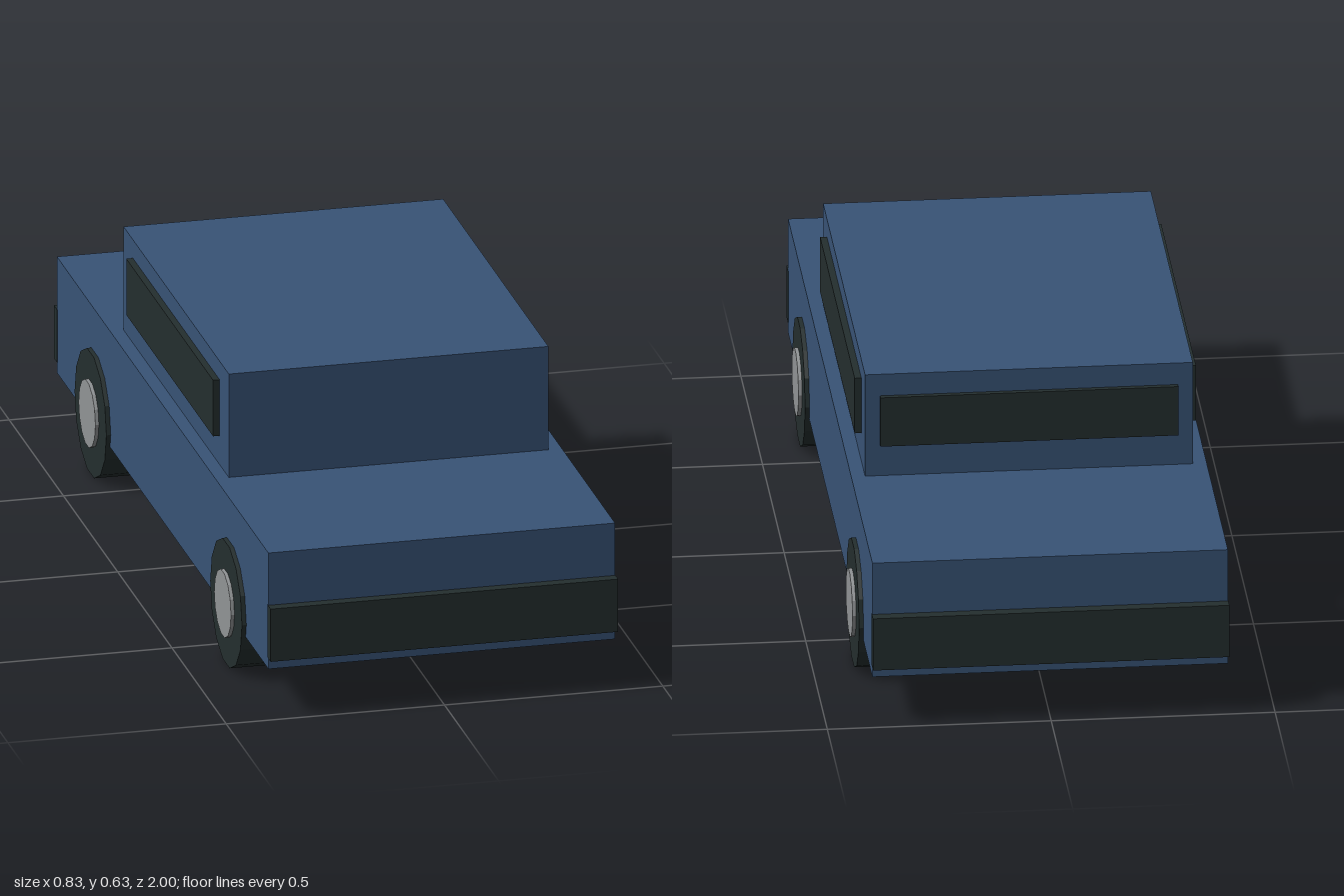
import * as THREE from 'three';

const material = (name, color) => {
  const m = new THREE.MeshStandardMaterial({ color });
  m.name = name;
  return m;
};

export function createModel() {
  const car = new THREE.Group();
  car.name = 'car';
  const paint = material('bluePaint', 0x385376);
  const dark = material('darkRubber', 0x242e2e);
  const metal = material('greyMetal', 0x919496);
  paint.flatShading = dark.flatShading = metal.flatShading = true;

  const add = (name, geometry, mat, x, y, z) => {
    const mesh = new THREE.Mesh(geometry, mat);
    mesh.name = name;
    mesh.position.set(x, y, z);
    car.add(mesh);
    return mesh;
  };
  const box = (name, mat, w, h, d, x, y, z) =>
    add(name, new THREE.BoxGeometry(w, h, d), mat, x, y, z);

  // Body and cabin
  box('body', paint, 0.794, 0.275, 1.95, 0, 0.2495, 0);
  box('cabin', paint, 0.732, 0.245, 0.97, 0, 0.5095, 0);

  // Windows on both sides and the back
  for (const s of [1, -1]) {
    box(s > 0 ? 'leftWindow' : 'rightWindow', dark, 0.016, 0.133, 0.8, s * 0.373, 0.5215, 0);
  }
  box('rearWindow', dark, 0.665, 0.118, 0.014, 0, 0.521, -0.49);

  // Bumpers
  for (const s of [1, -1]) {
    box(s > 0 ? 'frontBumper' : 'rearBumper', dark, 0.796, 0.125, 0.03, 0, 0.2005, s * 0.985);
  }

  // Wheels: 14-sided tyres with slightly raised hubs
  const tyre = new THREE.CylinderGeometry(0.1465, 0.1465, 0.105, 14).rotateZ(Math.PI / 2);
  const hub = new THREE.CylinderGeometry(0.0775, 0.0775, 0.02, 14).rotateZ(Math.PI / 2);
  for (const sx of [1, -1]) {
    for (const sz of [1, -1]) {
      const label = (sz > 0 ? 'front' : 'rear') + (sx > 0 ? 'Left' : 'Right');
      add(label + 'Tyre', tyre, dark, sx * 0.3545, 0.143, sz * 0.625);
      add(label + 'Hub', hub, metal, sx * 0.405, 0.143, sz * 0.625);
    }
  }
  return car;
}
